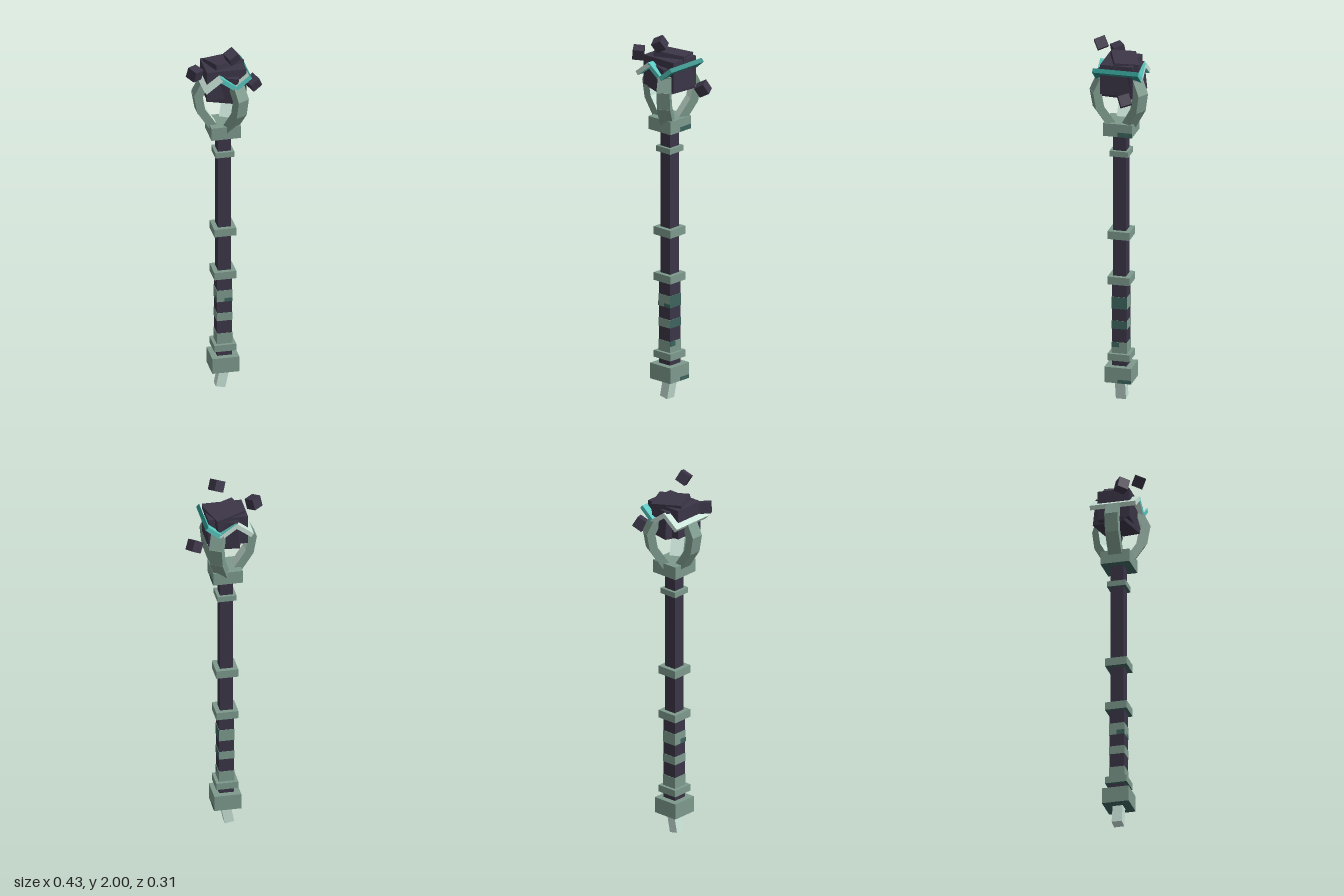
import * as THREE from 'three';

const material = (name, hex) => {
  const m = new THREE.MeshStandardMaterial({ color: hex });
  m.name = name;
  return m;
};

export function createModel() {
  const green = material('verdigris', 0x7d9a8d);
  const dark = material('deepGreen', 0x3d645e);
  const pale = material('paleGreen', 0xc8e2d7);
  const teal = material('teal', 0x55c6bd);
  const deepTeal = material('deepTeal', 0x2a8a83);
  const obsidian = material('obsidian', 0x3b3547);

  const model = new THREE.Group();
  model.name = 'staff';
  const axis = -0.008;

  const box = (name, size, pos, mat, rot = [0, 0, 0], parent = model) => {
    const mesh = new THREE.Mesh(new THREE.BoxGeometry(...size), mat);
    mesh.name = name;
    mesh.position.set(...pos);
    mesh.rotation.set(...rot);
    parent.add(mesh);
    return mesh;
  };
  // Square section centred on the staff axis, from y0 to y1
  const section = (name, width, y0, y1, mat) =>
    box(name, [width, y1 - y0, width], [axis, (y0 + y1) / 2, 0], mat);
  // Thin tarnish plate on one side (0 = front, 1 = left, 2 = back, 3 = right)
  const tarnish = (side, width, u0, u1, y0, y1) => {
    const pivot = new THREE.Group();
    pivot.name = 'tarnish';
    pivot.position.x = axis;
    pivot.rotation.y = (side * Math.PI) / 2;
    box('tarnishPlate', [u1 - u0, y1 - y0, 0.002], [(u0 + u1) / 2, (y0 + y1) / 2, width / 2], dark,
      [0, 0, 0], pivot);
    model.add(pivot);
  };

  // Face order: +x, -x, +y, -y, +z, -z
  const metal = [green, green, green, dark, green, green];

  // Shaft and grip
  section('shaft', 0.068, 0.66, 1.48, obsidian);
  section('grip', 0.078, 0.18, 0.66, obsidian);
  const wrap = [dark, green, green, dark, green, green];
  section('gripWrapTop', 0.082, 0.505, 0.57, wrap);
  section('gripWrapMiddle', 0.082, 0.395, 0.44, wrap);
  section('gripWrapBottom', 0.082, 0.26, 0.322, metal);
  tarnish(0, 0.082, 0, 0.041, 0.505, 0.525);
  tarnish(1, 0.082, -0.041, 0, 0.295, 0.322);
  tarnish(3, 0.082, 0, 0.041, 0.505, 0.53);

  // Collars, pommel and head socket
  section('upperCollar', 0.1, 1.345, 1.375, metal);
  section('middleCollar', 0.116, 0.892, 0.935, metal);
  section('gripCollar', 0.116, 0.643, 0.685, metal);
  section('lowerCollar', 0.116, 0.225, 0.262, metal);
  section('pommel', 0.142, 0.108, 0.193, metal);
  section('headSocket', 0.155, 1.465, 1.535, metal);
  tarnish(1, 0.142, 0, 0.071, 0.108, 0.128);
  tarnish(1, 0.155, 0, 0.077, 1.465, 1.49);
  box('pommelTip', [0.05, 0.11, 0.054], [-0.015, 0.059, 0], pale, [0, 0, -0.2]);

  // Three bent prongs, each a chain of blocks with a pale inner face
  const path = [[0.05, 1.51], [0.122, 1.62], [0.137, 1.705], [0.107, 1.765], [0.04, 1.8]];
  for (let i = 0; i < 3; i++) {
    const prong = new THREE.Group();
    prong.name = 'prong';
    prong.position.x = axis;
    prong.rotation.y = Math.PI + (i * Math.PI * 2) / 3;
    for (let k = 0; k < path.length - 1; k++) {
      const [r0, y0] = path[k], [r1, y1] = path[k + 1];
      const length = Math.hypot(r1 - r0, y1 - y0) + 0.012;
      box('prongSegment', [0.044, length, 0.07], [(r0 + r1) / 2, (y0 + y1) / 2, 0],
        [green, pale, green, green, green, green], [0, 0, -Math.atan2(r1 - r0, y1 - y0)], prong);
    }
    model.add(prong);
  }

  // Zigzag crown of three flat planks, each in a back and a front half
  const zig = [[-0.123, 1.773], [-0.045, 1.832], [0.035, 1.773], [0.107, 1.832]];
  const crown = [
    { back: [teal, pale, pale, teal, pale, pale], front: [teal, pale, pale, teal, pale, pale] },
    { back: [teal, pale, teal, pale, teal, pale], front: [teal, pale, teal, pale, teal, pale] },
    { back: [deepTeal, teal, teal, deepTeal, teal, teal], front: [deepTeal, teal, pale, deepTeal, teal, teal] },
  ];
  crown.forEach((halves, k) => {
    const [x0, y0] = zig[k], [x1, y1] = zig[k + 1];
    for (const [half, z] of [['back', -0.061], ['front', 0.061]]) {
      box(half + 'CrownPlank', [Math.hypot(x1 - x0, y1 - y0) + 0.012, 0.024, 0.122],
        [(x0 + x1) / 2, (y0 + y1) / 2, z], halves[half], [0, 0, Math.atan2(y1 - y0, x1 - x0)]);
    }
  });

  // Stone core of overlapping blocks
  box('coreBlock', [0.208, 0.16, 0.17], [-0.007, 1.785, 0], obsidian);
  box('coreCap', [0.168, 0.12, 0.13], [-0.003, 1.822, -0.015], obsidian, [-0.12, 0.37, -0.04]);
  box('coreInner', [0.16, 0.15, 0.19], [-0.004, 1.762, -0.006], obsidian, [0.08, -0.27, -0.05]);

  // Floating shards
  const shards = [
    [[0.016, 1.955, 0.1], [0.35, 0.45, 0.35]],
    [[-0.17, 1.857, 0.06], [0.3, 0.6, -0.25]],
    [[0.166, 1.706, -0.064], [0.25, 0.45, 0.4]],
  ];
  for (const [pos, rot] of shards) box('shard', [0.058, 0.058, 0.058], pos, obsidian, rot);

  return model;
}
